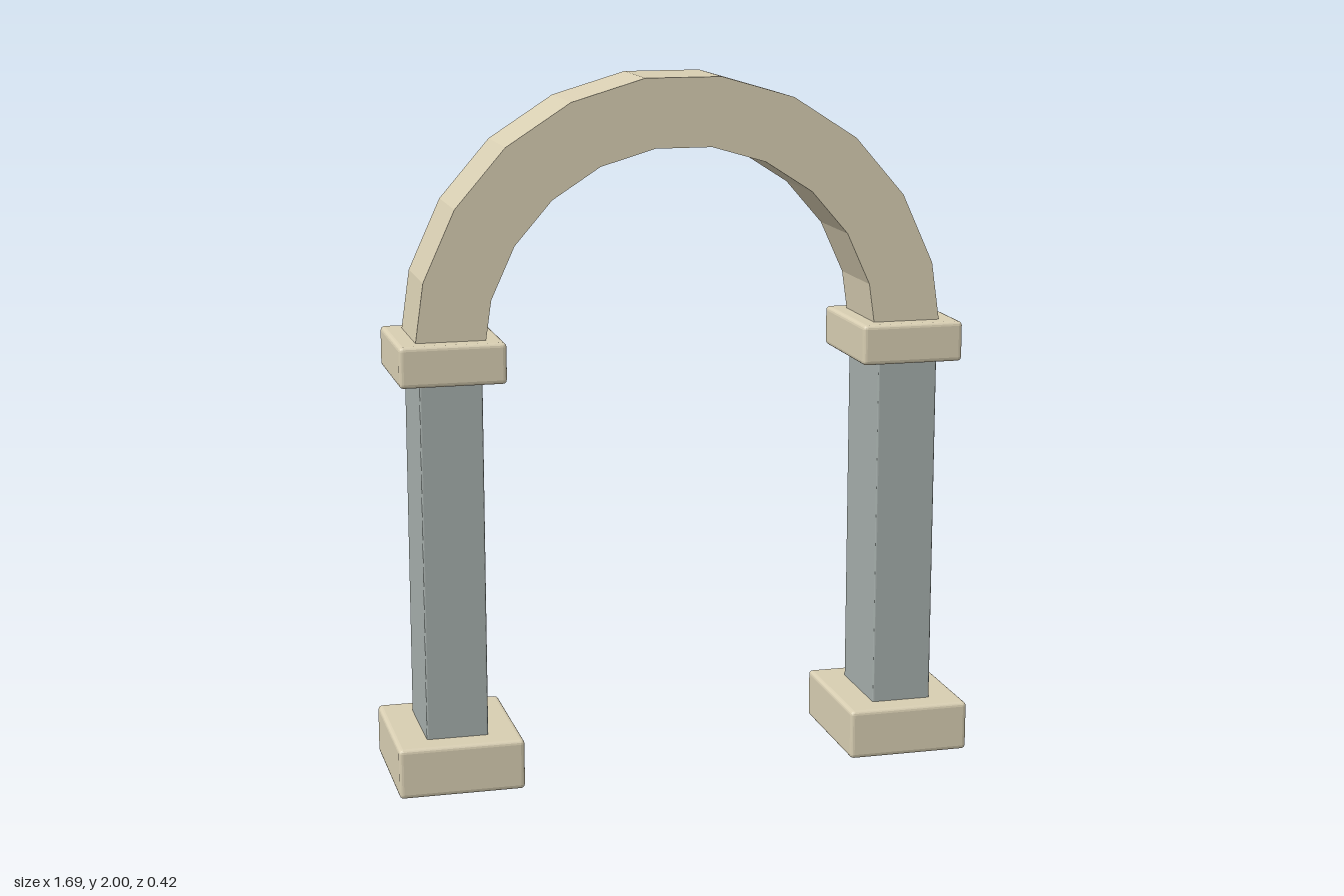
import * as THREE from 'three';
import { RoundedBoxGeometry } from 'three/addons/geometries/RoundedBoxGeometry.js';

const stone = new THREE.MeshStandardMaterial({ color: 0xd8ceb2, flatShading: true });
const slate = new THREE.MeshStandardMaterial({ color: 0xa5aeab, flatShading: true });

// Softly bevelled block standing between two heights
function block(name, x, width, depth, y0, y1, bevel, material) {
  const geometry = new RoundedBoxGeometry(width, y1 - y0, depth, 2, bevel);
  const mesh = new THREE.Mesh(geometry, material);
  mesh.name = name;
  mesh.position.set(x, (y0 + y1) / 2, 0);
  return mesh;
}

// Half ring of 11 facets; its feet sit inside the capitals
function arch() {
  const outer = 0.77, inner = 0.573, segments = 11, depth = 0.25;
  const points = [];
  const addArc = (radius, reverse) => {
    for (let i = 0; i <= segments; i++) {
      const a = Math.PI * (reverse ? segments - i : i) / segments;
      points.push(new THREE.Vector2(Math.cos(a) * radius, Math.sin(a) * radius));
    }
  };
  addArc(outer, false);
  addArc(inner, true);
  const geometry = new THREE.ExtrudeGeometry(new THREE.Shape(points), { depth, bevelEnabled: false });
  geometry.translate(0, 0, -depth / 2);
  const mesh = new THREE.Mesh(geometry, stone);
  mesh.name = 'arch';
  mesh.position.y = 2 - outer * Math.cos(Math.PI / segments / 2);
  return mesh;
}

export function createModel() {
  const group = new THREE.Group();
  group.name = 'archway';

  // A pillar on each side: base, shaft and capital
  for (const [side, sign] of [['left', 1], ['right', -1]]) {
    const x = sign * 0.667;
    const pillar = new THREE.Group();
    pillar.name = side + 'Pillar';
    pillar.add(
      block('base', x, 0.36, 0.42, 0, 0.145, 0.012, stone),
      block('shaft', x, 0.177, 0.268, 0.002, 1.24, 0.005, slate),
      block('capital', x, 0.3, 0.36, 1.172, 1.288, 0.012, stone)
    );
    group.add(pillar);
  }

  group.add(arch());
  return group;
}
